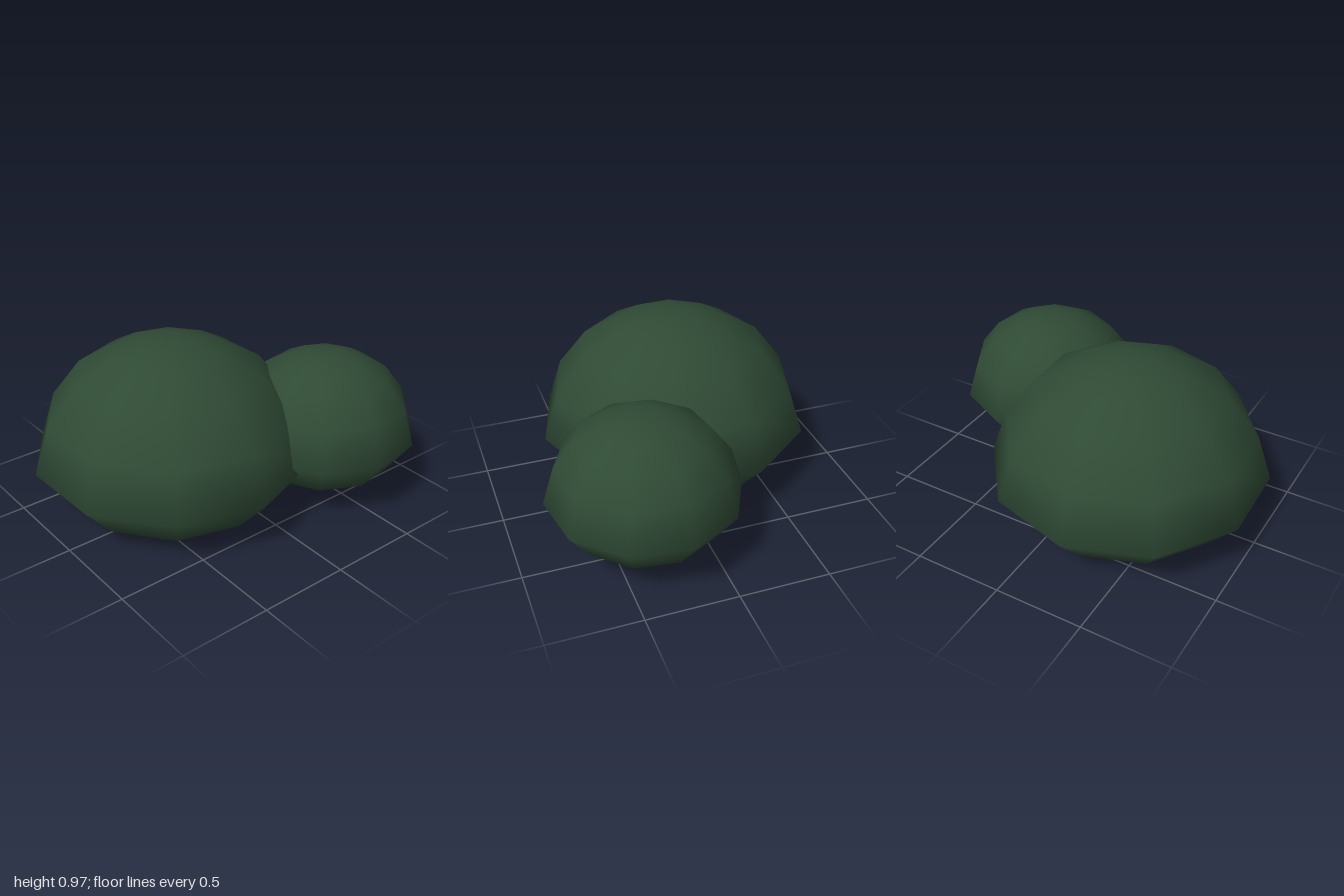
import * as THREE from 'three';
import { mergeVertices } from 'three/addons/utils/BufferGeometryUtils.js';

const SIDES = 10;
const leaves = new THREE.MeshStandardMaterial({ color: 0x2f4a35 });

// Ten-sided smooth dome, profile given as [radius, height] from bottom to top
function clump(name, profile, x, z, turnDegrees) {
  const points = profile.map(([r, y]) => new THREE.Vector2(r, y));
  let geometry = new THREE.LatheGeometry(points, SIDES, THREE.MathUtils.degToRad(turnDegrees));
  // Weld the seam and poles so shading is smooth all round
  geometry.deleteAttribute('uv');
  geometry.deleteAttribute('normal');
  geometry = mergeVertices(geometry, 1e-4);
  geometry.computeVertexNormals();
  const mesh = new THREE.Mesh(geometry, leaves);
  mesh.name = name;
  mesh.position.set(x, 0, z);
  return mesh;
}

export function createModel() {
  const bush = new THREE.Group();
  bush.name = 'bush';

  // Large rear clump resting on the ground
  bush.add(clump('largeClump', [
    [0, 0], [0.57, 0.095], [0.768, 0.32], [0.684, 0.575],
    [0.518, 0.793], [0.308, 0.912], [0.157, 0.958], [0, 0.973],
  ], -0.265, -0.083, 1.9));

  // Smaller clump at the front left, floating slightly above the ground
  bush.add(clump('smallClump', [
    [0, 0.118], [0.386, 0.19], [0.518, 0.37], [0.456, 0.577],
    [0.35, 0.715], [0.217, 0.79], [0.11, 0.82], [0, 0.83],
  ], 0.485, 0.331, -8.2));

  return bush;
}
